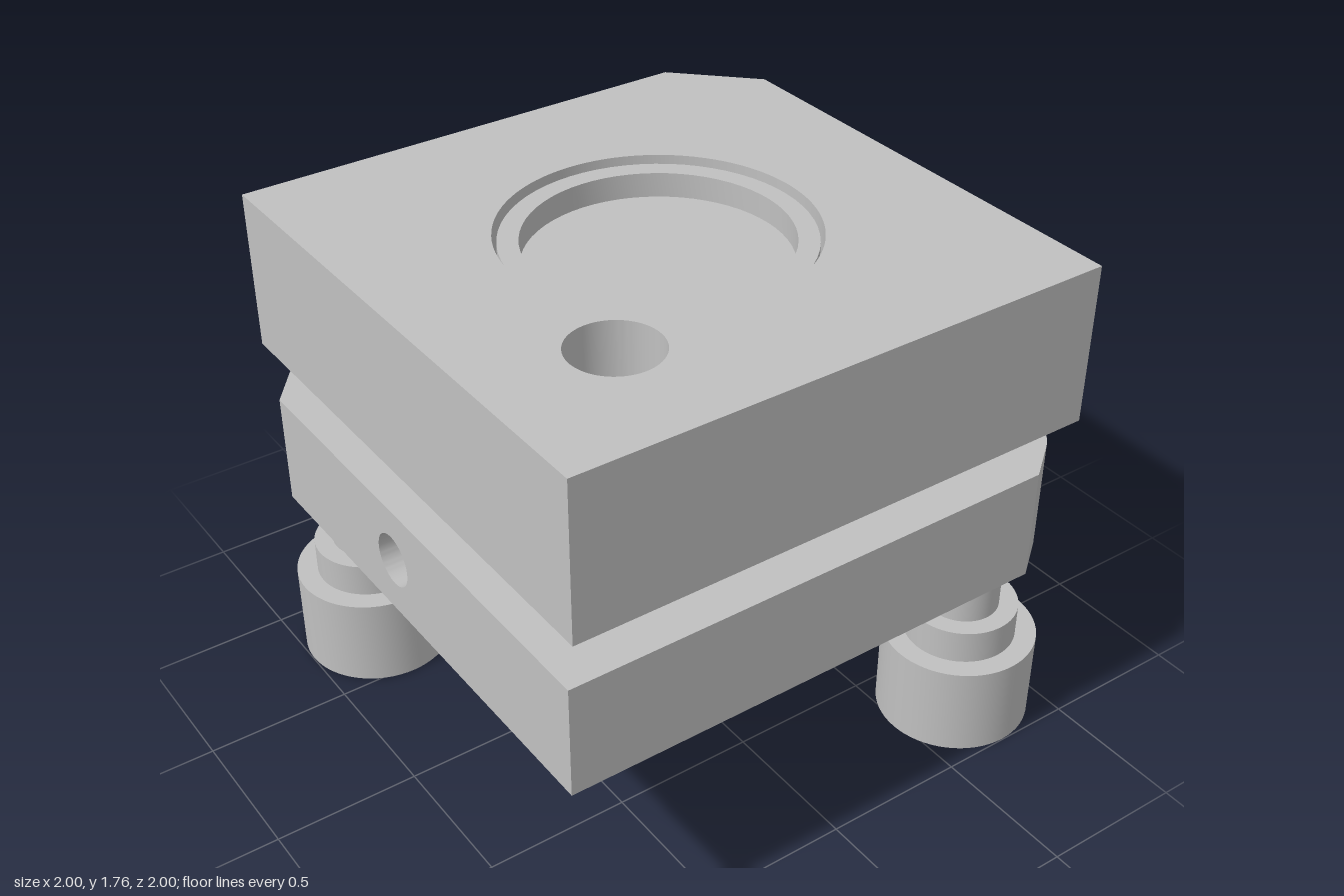
import * as THREE from 'three';
import { toCreasedNormals } from 'three/addons/utils/BufferGeometryUtils.js';

const metal = new THREE.MeshStandardMaterial({ color: 0xc0c0c0 });
metal.name = 'grey metal';

const BASE_Y = 0.72, BASE_TOP = 1.11, PLATE_Y = 1.205, PLATE_TOP = 1.757;
const POST = 0.735;   // offset of the screws from both axes
const ARM = 0.525;    // inner edge of both arms and radius of the inner corner
const SPLIT = 0.15;   // half width of the bored block in the front arm

function part(name, geometry) {
  const mesh = new THREE.Mesh(toCreasedNormals(geometry, 0.5), metal);
  mesh.name = name;
  return mesh;
}

// Extrudes a plan outline (x, -z) upward from y0 to y1
function slab(name, shape, y0, y1) {
  const g = new THREE.ExtrudeGeometry(shape, { depth: y1 - y0, bevelEnabled: false, curveSegments: 48 });
  g.rotateX(-Math.PI / 2).translate(0, y0, 0);
  return part(name, g);
}

function circle(x, y, r) {
  const p = new THREE.Path();
  p.absarc(x, y, r, 0, Math.PI * 2, true);
  return p;
}

function turned(name, points, x, z) {
  const g = new THREE.LatheGeometry(points.map(p => new THREE.Vector2(...p)), 64);
  const mesh = part(name, g);
  mesh.position.set(x, 0, z);
  return mesh;
}

// L-shaped base: two arms with rounded ends, joined by a cross-bored block
function createBase() {
  const base = new THREE.Group();
  base.name = 'base';
  const r = POST - ARM;
  const tangent = Math.acos(r / (1 - POST));

  const left = new THREE.Shape();
  left.moveTo(-SPLIT, -ARM);
  left.lineTo(-POST, -ARM);
  left.absarc(-POST, -POST, r, Math.PI / 2, Math.PI * 1.5 - tangent, false);
  left.lineTo(-POST, -1);
  left.lineTo(-SPLIT, -1);
  left.closePath();
  base.add(slab('frontArm', left, BASE_Y, BASE_TOP));

  const right = new THREE.Shape();
  right.moveTo(SPLIT, -1);
  right.lineTo(1, -1);
  right.lineTo(1, POST);
  right.absarc(POST, POST, r, tangent, Math.PI, false);
  right.lineTo(ARM, 0);
  right.absarc(0, 0, ARM, 0, -Math.acos(SPLIT / ARM), true);
  right.closePath();
  right.holes.push(circle(0.5, -0.5, 0.09));
  base.add(slab('sideArm', right, BASE_Y, BASE_TOP));

  // Bored block, its back face following the round inner corner
  const block = new THREE.Shape();
  block.moveTo(-SPLIT, BASE_Y);
  for (let i = 0; i <= 6; i++) block.lineTo(SPLIT * i / 6, BASE_Y);
  for (let i = 6; i >= 0; i--) block.lineTo(SPLIT * i / 6, BASE_TOP);
  block.lineTo(-SPLIT, BASE_TOP);
  block.closePath();
  block.holes.push(circle(0, 0.915, 0.09));
  const g = new THREE.ExtrudeGeometry(block, { depth: 1, bevelEnabled: false, curveSegments: 32 });
  const p = g.attributes.position;
  for (let i = 0; i < p.count; i++) {
    if (p.getZ(i) < 0.5) {
      const x = Math.max(0, p.getX(i));
      p.setZ(i, Math.sqrt(ARM * ARM - x * x));
    }
  }
  base.add(part('boredBlock', g));
  return base;
}

export function createModel() {
  const model = new THREE.Group();
  model.name = 'adjustableMount';
  model.add(createBase());

  // Top plate with one cut corner, a large bore and an access hole
  const plate = new THREE.Shape();
  plate.moveTo(-0.942, -0.95);
  plate.lineTo(0.95, -0.95);
  plate.lineTo(0.95, 0.942);
  plate.lineTo(-0.69, 0.942);
  plate.lineTo(-0.942, 0.69);
  plate.closePath();
  plate.holes.push(circle(0.004, -0.004, 0.512), circle(0.5, -0.5, 0.15));
  model.add(slab('topPlate', plate, PLATE_Y, PLATE_TOP));

  // Recessed disc floating in the bore
  model.add(turned('disc', [
    [0, 1.4], [0.498, 1.4], [0.498, 1.732], [0.43, 1.732], [0.43, 1.647], [0, 1.647],
  ], 0.004, 0.004));

  // Adjusting screws, each with knob, shaft, collar and tip, plus a plain pin
  for (const [x, z, name] of [[-POST, POST, 'front'], [POST, -POST, 'side']]) {
    model.add(turned(name + 'Screw', [
      [0, 0], [0.262, 0], [0.262, 0.325], [0.19, 0.325], [0.19, 0.445], [0.125, 0.445],
      [0.125, 0.688], [0.165, 0.688], [0.165, BASE_Y + 0.002], [0.057, BASE_Y + 0.002],
      [0.057, PLATE_Y + 0.01], [0, PLATE_Y + 0.01],
    ], x, z));
  }
  for (const [x, z, name] of [[-0.235, POST, 'front'], [POST, -0.195, 'side']]) {
    const pin = part(name + 'Pin', new THREE.CylinderGeometry(0.058, 0.058, 0.115, 32));
    pin.position.set(x, 1.158, z);
    model.add(pin);
  }

  // Pivot ball at the corner of the base
  const ball = part('pivotBall', new THREE.SphereGeometry(0.06, 32, 20));
  ball.position.set(POST, 1.158, POST);
  model.add(ball);

  return model;
}
